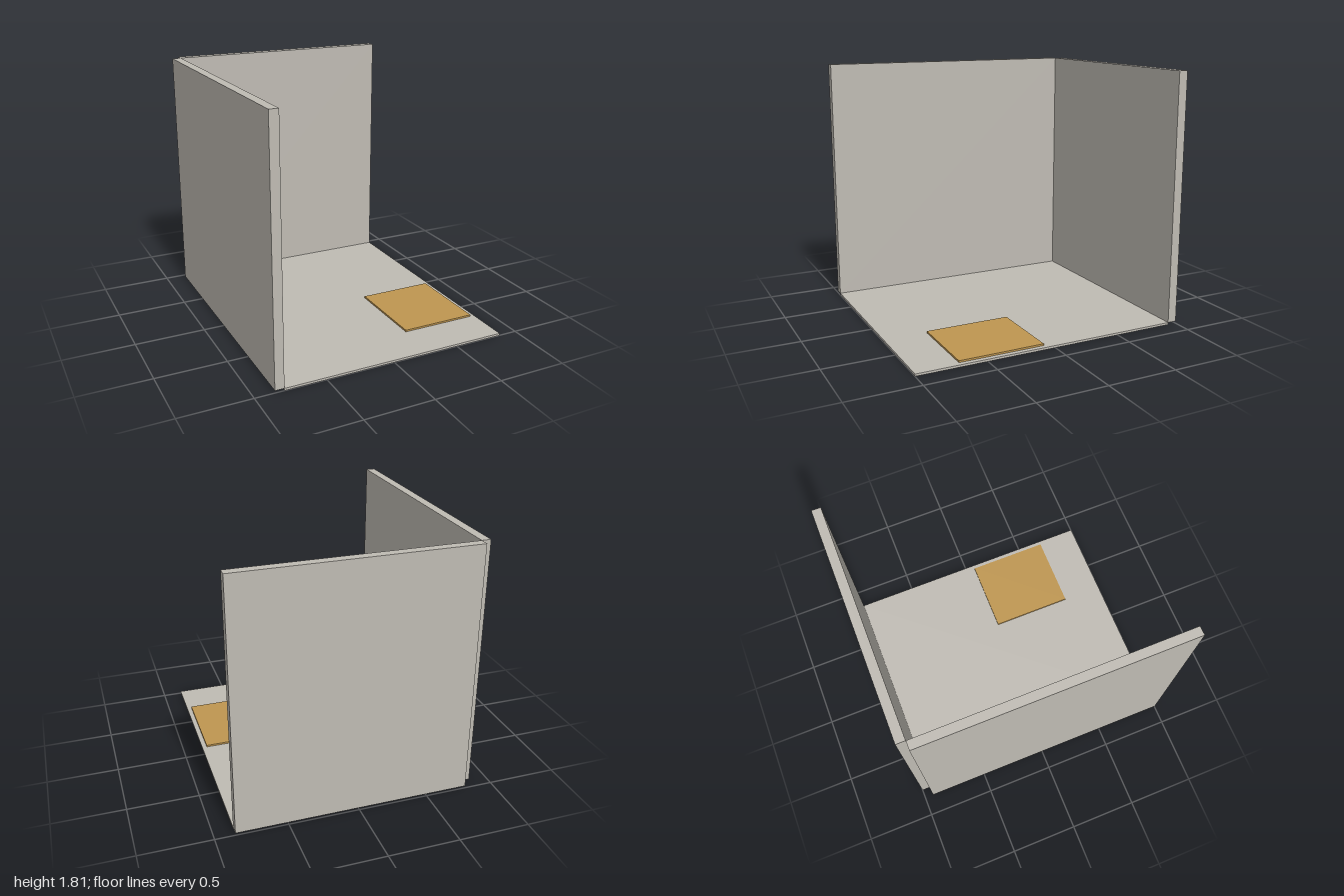
import * as THREE from 'three';

const plaster = new THREE.MeshStandardMaterial({ name: 'warm grey', color: 0xbfbbb3 });
const ochre = new THREE.MeshStandardMaterial({ name: 'ochre', color: 0xbe9650 });

// Box given by its extents along each axis
function slab(name, material, [x0, x1], [y0, y1], [z0, z1]) {
  const mesh = new THREE.Mesh(new THREE.BoxGeometry(x1 - x0, y1 - y0, z1 - z0), material);
  mesh.name = name;
  mesh.position.set((x0 + x1) / 2, (y0 + y1) / 2, (z0 + z1) / 2);
  return mesh;
}

export function createModel() {
  const room = new THREE.Group();
  room.name = 'roomCorner';

  const left = -0.797, right = 0.862; // inner floor edges
  const back = -0.934, front = 1;
  const floorTop = 0.016, wallTop = 1.81;

  room.add(
    slab('floor', plaster, [left, right], [0, floorTop], [back, front]),
    // Walls stand on the floor level, just outside its edges
    slab('backWall', plaster, [left, right], [floorTop, wallTop], [-1, back]),
    slab('sideWall', plaster, [-0.862, left], [floorTop, wallTop], [back, front]),
    // Mat lying on the floor
    slab('mat', ochre, [0.274, 0.828], [floorTop, 0.029], [0.07, 0.69]),
  );
  return room;
}
